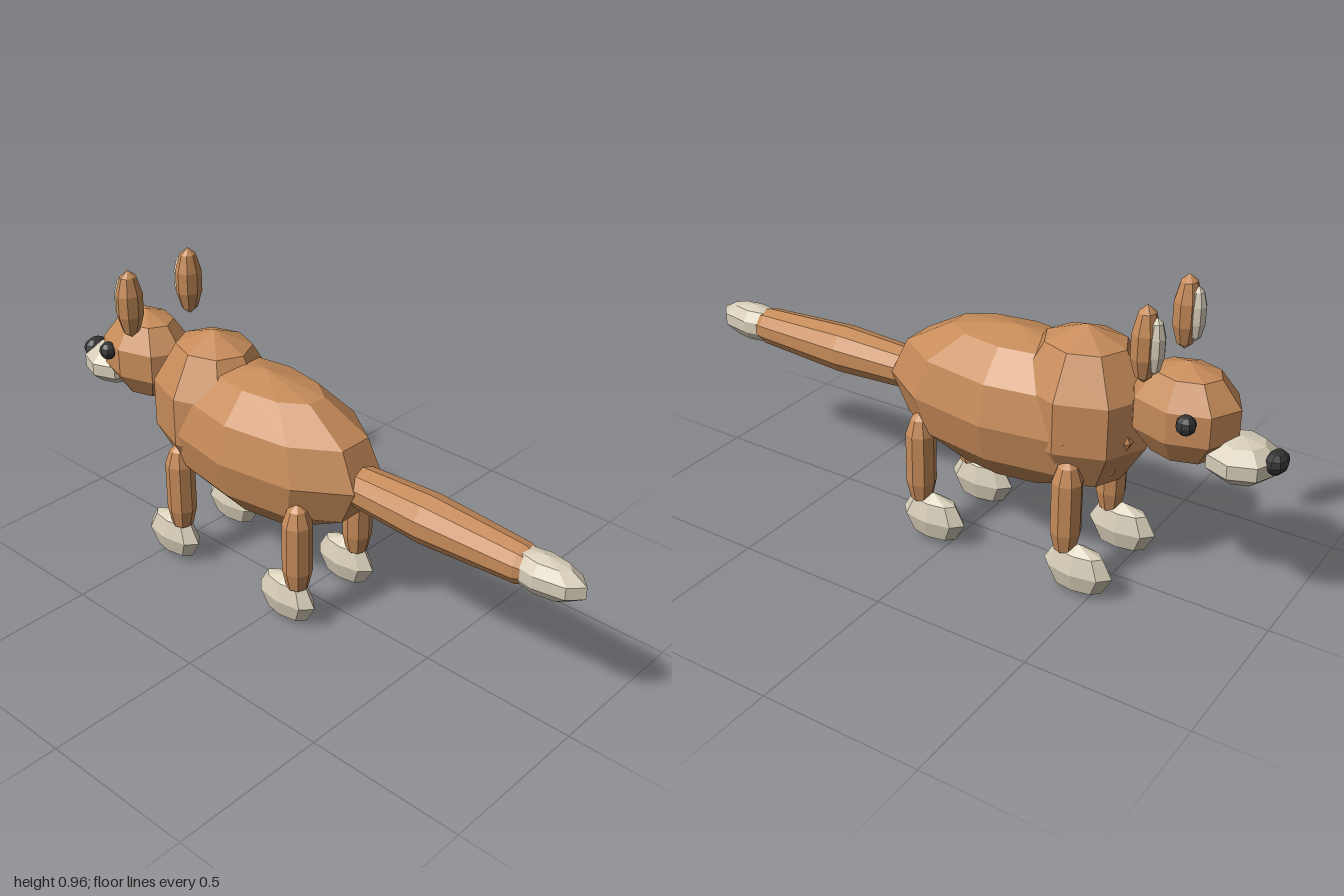
import * as THREE from 'three';

const flat = (name, color) => {
  const m = new THREE.MeshStandardMaterial({ color, flatShading: true });
  m.name = name;
  return m;
};

export function createModel() {
  const group = new THREE.Group();
  const fur = flat('fur', 0xc68b59);
  const cream = flat('cream', 0xd6cdb8);
  const dark = flat('dark', 0x333333);

  const add = (name, geometry, material, x, y, z) => {
    const mesh = new THREE.Mesh(geometry, material);
    mesh.name = name;
    mesh.position.set(x, y, z);
    group.add(mesh);
    return mesh;
  };
  // Faceted ellipsoid with its poles up and down
  const blob = (name, material, [x, y, z], [rx, ry, rz], w = 8, h = 5) =>
    add(name, new THREE.SphereGeometry(1, w, h).scale(rx, ry, rz), material, x, y, z);
  // Faceted spindle from [radius, height] points, bottom first
  const spindle = (points, sides) =>
    new THREE.LatheGeometry(points.map(([r, h]) => new THREE.Vector2(r, h)), sides);

  // Trunk
  blob('body', fur, [0, 0.496, -0.155], [0.21, 0.241, 0.432], 10, 6);
  blob('chest', fur, [0, 0.54, -0.38], [0.188, 0.255, 0.217], 8, 5);

  // Head, facing -z
  blob('head', fur, [0, 0.615, -0.695], [0.131, 0.15, 0.17]);
  blob('muzzle', cream, [0, 0.522, -0.868], [0.103, 0.067, 0.11]);
  blob('nose', dark, [0, 0.54, -0.968], [0.048, 0.034, 0.032], 8, 6);

  // Tail along +z with a pale tip
  const tail = spindle(
    [[0, 0.12], [0.064, 0.2], [0.077, 0.48], [0.06, 0.8], [0.035, 0.86], [0, 0.88]], 10);
  add('tail', tail.rotateX(Math.PI / 2), fur, 0, 0.488, 0);
  blob('tailTip', cream, [0, 0.487, 0.865], [0.06, 0.062, 0.14]);

  const leg = spindle(
    [[0, 0.11], [0.034, 0.14], [0.047, 0.2], [0.047, 0.365], [0.03, 0.415], [0, 0.44]], 8);

  for (const side of [-1, 1]) {
    const label = side > 0 ? 'right' : 'left';
    blob(label + 'Eye', dark, [side * 0.12, 0.64, -0.752], [0.029, 0.029, 0.029], 8, 6);
    blob(label + 'Ear', fur, [side * 0.124, 0.845, -0.622], [0.047, 0.113, 0.041]);
    blob(label + 'InnerEar', cream, [side * 0.124, 0.845, -0.652], [0.028, 0.083, 0.028]);
    // Legs and paws
    for (const [end, z] of [['Front', -0.412], ['Back', 0.098]]) {
      add(label + end + 'Leg', leg, fur, side * 0.137, 0, z);
      blob(label + end + 'Paw', cream, [side * 0.136, 0.083, z - 0.044], [0.049, 0.083, 0.113], 8, 4);
    }
  }
  return group;
}
